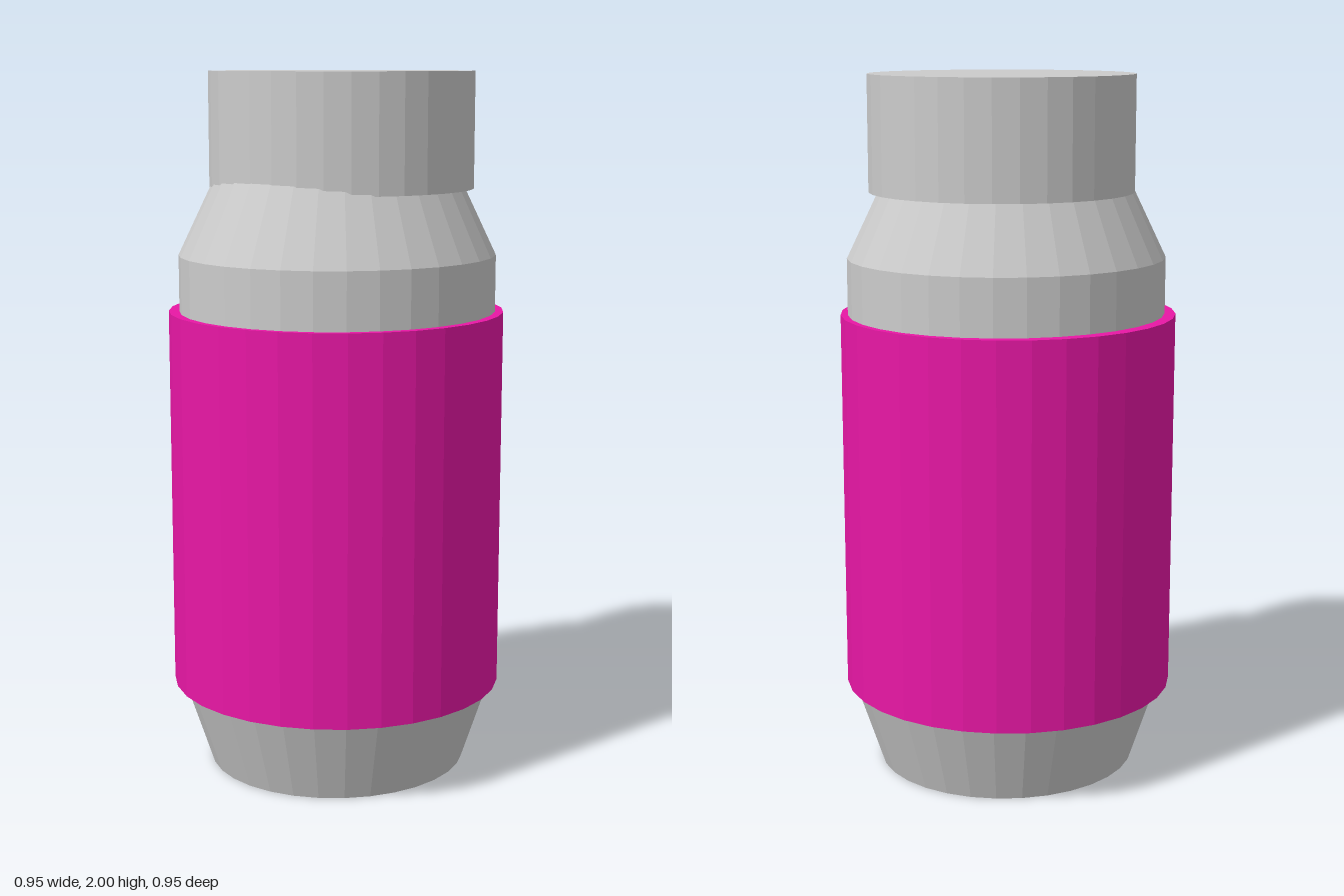
import * as THREE from 'three';

const SIDES = 32;

export function createModel() {
  const model = new THREE.Group();
  const grey = new THREE.MeshStandardMaterial({ color: 0xcccccc, flatShading: true });
  const magenta = new THREE.MeshStandardMaterial({ color: 0xe817a5, flatShading: true });

  const add = (name, geometry, material, x, y, z) => {
    const mesh = new THREE.Mesh(geometry, material);
    mesh.name = name;
    mesh.position.set(x, y, z);
    model.add(mesh);
    return mesh;
  };

  // Bottle body: tapered foot, straight wall and sloping shoulder, slightly oval
  const profile = [
    [0, 0], [0.378, 0], [0.457, 0.235], [0.457, 1.49], [0.345, 1.72], [0, 1.72],
  ].map(([r, y]) => new THREE.Vector2(r, y));
  const body = add('body', new THREE.LatheGeometry(profile, SIDES), grey, 0.005, 0, -0.001);
  body.scale.x = 0.973;

  // Coloured sleeve around the body
  add('sleeve', new THREE.CylinderGeometry(0.477, 0.477, 1.09, SIDES), magenta, -0.001, 0.785, -0.001);

  // Cap, set slightly towards the back
  add('cap', new THREE.CylinderGeometry(0.374, 0.374, 0.325, SIDES), grey, 0.002, 1.8375, -0.022);

  return model;
}
